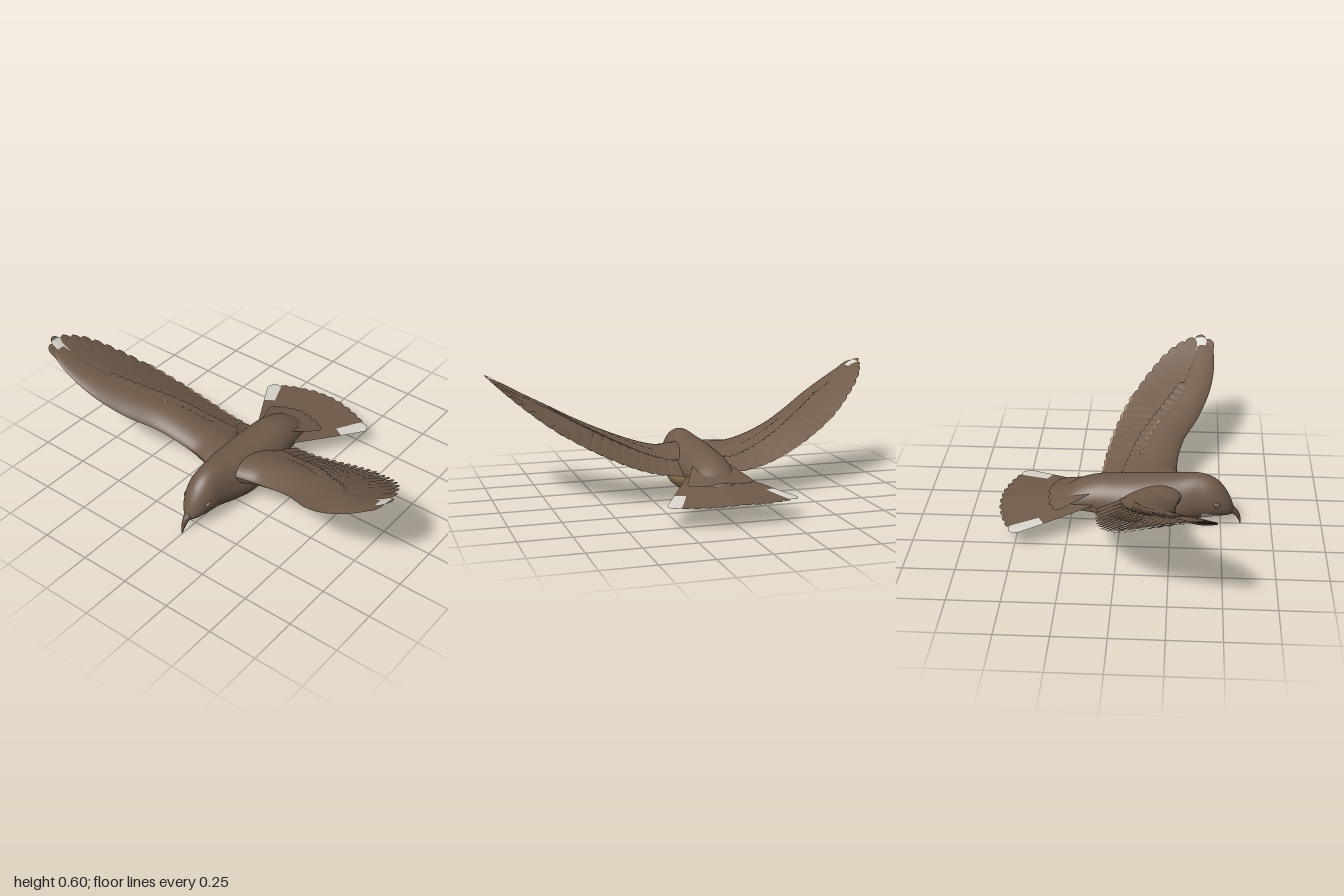
import * as THREE from 'three';

const mat = (name, color, side = THREE.FrontSide) => Object.assign(new THREE.MeshStandardMaterial({ color, side }), { name });
const brown = mat('brown plumage', 0x705b4a);
const dark = mat('dark underside', 0x42342a);
const tan = mat('tan belly and tips', 0xa98a65);
const white = mat('pale patches', 0xdad5cd);
const bill = mat('bill brown', 0x5a483b);
const PALETTE = [brown, dark, tan, white];
const BROWN = 0, DARK = 1, TAN = 2, WHITE = 3;
const lerp = THREE.MathUtils.lerp, clamp = THREE.MathUtils.clamp;

// Smooth interpolation of column c in a table sorted by its first column
function at(table, x, c) {
  const n = table.length;
  x = clamp(x, table[0][0], table[n - 1][0]);
  let i = 0;
  while (i < n - 2 && x > table[i + 1][0]) i++;
  const slope = (k) => {
    const a = table[Math.max(k - 1, 0)], b = table[Math.min(k + 1, n - 1)];
    return (b[c] - a[c]) / (b[0] - a[0]);
  };
  const [p, q] = [table[i], table[i + 1]], h = q[0] - p[0], s = (x - p[0]) / h;
  return (1 + 2 * s) * (1 - s) ** 2 * p[c] + s * (1 - s) ** 2 * h * slope(i)
    + s * s * (3 - 2 * s) * q[c] + s * s * (s - 1) * h * slope(i + 1);
}

// Surface from a rule f(u, v); paint(u, v) picks the colour of each face
function grid(nu, nv, f, paint, flip = false) {
  const pos = [], sets = PALETTE.map(() => []);
  for (let i = 0; i <= nu; i++) for (let j = 0; j <= nv; j++) pos.push(...f(i / nu, j / nv));
  for (let i = 0; i < nu; i++) for (let j = 0; j < nv; j++) {
    const a = i * (nv + 1) + j, b = a + nv + 1;
    const tri = flip ? [a, a + 1, b, b, a + 1, b + 1] : [a, b, a + 1, b, b + 1, a + 1];
    sets[paint((i + 0.5) / nu, (j + 0.5) / nv)].push(...tri);
  }
  const geo = new THREE.BufferGeometry();
  geo.setAttribute('position', new THREE.Float32BufferAttribute(pos, 3));
  geo.setIndex(sets.flat());
  let start = 0;
  sets.forEach((s, m) => { if (s.length) geo.addGroup(start, s.length, m); start += s.length; });
  geo.computeVertexNormals();
  return geo;
}

function mirrored(geo) {
  const g = geo.clone().scale(-1, 1, 1), ix = g.index.array;
  for (let i = 0; i < ix.length; i += 3) [ix[i], ix[i + 1]] = [ix[i + 1], ix[i]];
  return g;
}

function addMesh(parent, name, geo, material = PALETTE) {
  const m = new THREE.Mesh(geo, material);
  m.name = name;
  parent.add(m);
}

// Wing edges: x, z, y
const LEAD = [[0, .33, .2], [.1, .30, .2], [.2, .275, .195], [.4, .305, .25], [.55, .38, .315], [.7, .44, .405], [.85, .46, .5], [1, .44, .6]];
const TRAIL = [[0, -.1, .14], [.12, -.1, .14], [.3, -.09, .17], [.5, -.05, .25], [.7, .03, .36], [.85, .14, .47], [.95, .25, .555], [1, .33, .598]];
// Wing camber and depth below the upper surface: x, camber, depth
const SHAPE = [[0, .05, .13], [.12, .055, .11], [.25, .06, .05], [.45, .065, .026], [.65, .05, .015], [.85, .02, .009], [1, 0, .004]];

const wingZ = (x, t) => lerp(at(LEAD, x, 1), at(TRAIL, x, 1), t);
function wingY(x, z) {
  const lz = at(LEAD, x, 1), t = clamp((lz - z) / (lz - at(TRAIL, x, 1)), 0, 1);
  return lerp(at(LEAD, x, 2), at(TRAIL, x, 2), t) + at(SHAPE, x, 1) * Math.sin(Math.PI * t ** .7);
}
const tailY = (x, z) => .104 + .045 * clamp((z + .6) / .5, 0, 1) ** 1.3;
const covertT = (x) => lerp(.72, .4, clamp((x - .15) / .55, 0, 1));

// Feather draped on a height rule; mark = [from, to, colour on top, colour below]
function feather(list, name, height, root, tip, half, o = {}) {
  const { off = [0, 0], tilt = .004, thick = .005, mark = [2, 2, 0, 0], base = .6 } = o;
  const dx = tip[0] - root[0], dz = tip[1] - root[1], len = Math.hypot(dx, dz);
  const along = (q) => Math.sin(q * Math.PI / 2);
  const sheet = (drop) => (q, v) => {
    const u = along(q), s = v * 2 - 1, round = 1 - Math.min(half * 1.1 / len, .5);
    const w = half * (u < round ? lerp(base, 1, u / round) : Math.sqrt(Math.max(0, 1 - ((u - round) / (1 - round)) ** 2)));
    const x = root[0] + dx * u + dz / len * w * s, z = root[1] + dz * u - dx / len * w * s;
    const edge = 1 - s * s;
    return [x, height(x, z) + lerp(off[0], off[1], u) - tilt * s * w / half + (drop ? -thick : thick * .4 * edge), z];
  };
  const pick = (plain, c) => (q) => (along(q) > mark[0] && along(q) < mark[1] ? c : plain);
  list.push([name + 'Top', grid(16, 6, sheet(false), pick(BROWN, mark[2]))]);
  list.push([name + 'Underside', grid(16, 6, sheet(true), pick(DARK, mark[3]), true)]);
}

function wingParts() {
  const parts = [];
  // Smooth arm and leading edge
  const reach = (x) => covertT(x) - .04;
  parts.push(['wingArm', grid(48, 28, (u, v) => {
    const x = lerp(.02, .95, u), a = v * Math.PI * 2, t = reach(x) * (1 - Math.cos(a)) / 2, z = wingZ(x, t);
    const k = Math.sin(a);
    return [x, wingY(x, z) + k * (k > 0 ? .009 : at(SHAPE, x, 2)) * Math.sqrt(1 - u ** 12), z];
  }, (u, v) => (v > .5 && v < .86 && u > .3 ? DARK : BROWN))]);
  // Secondaries
  for (let k = 0; k < 12; k++) {
    const x = .155 + k * .048;
    const tanTip = k > 1 && k % 4 !== 0;
    feather(parts, 'secondary', wingY, [x * .88, wingZ(x * .88, .4)], [x, wingZ(x, 1) - .012], .034,
      { mark: [tanTip ? .965 : 2, 2, TAN, TAN], off: [-.004, 0] });
  }
  // Primaries fanning from the wrist
  const tips = [[.725, .04], [.775, .075], [.82, .11], [.865, .15], [.905, .19], [.94, .235], [.965, .28], [.985, .33], [1, .385], [.975, .43]];
  tips.forEach((tip, k) => {
    const x = lerp(.5, .63, k / 9), t = lerp(.42, .12, k / 9);
    const mark = k === 8 ? [.6, .95, WHITE, WHITE] : k === 7 ? [.66, .93, BROWN, WHITE] : undefined;
    feather(parts, 'primary', wingY, [x, wingZ(x, t)], tip, .036, { off: [-.004, 0], mark });
  });
  // Coverts with scattered tan tips
  for (let k = 0; k < 18; k++) {
    const x = .15 + k * .032, t = covertT(x);
    feather(parts, 'covert', wingY, [x * .93, wingZ(x * .93, t - .3)], [x, wingZ(x, t + .02)], .023,
      { off: [0, .01], tilt: .002, mark: [k % 4 === 1 ? .95 : 2, 2, TAN, DARK] });
  }
  // Tan dashes above and below
  for (let k = 0; k < 7; k++) {
    const x = .24 + k * .036, t = covertT(x) - .13;
    feather(parts, 'covertDash', wingY, [x - .012, wingZ(x, t)], [x + .012, wingZ(x, t) + .012], .005,
      { off: [.013, .013], tilt: 0, thick: .003, mark: [-1, 2, TAN, TAN] });
    const xb = .36 + k * .045, tb = covertT(xb) + .03;
    feather(parts, 'underDash', wingY, [xb - .013, wingZ(xb, tb)], [xb + .013, wingZ(xb, tb) + .012], .006,
      { off: [-.013, -.013], tilt: 0, thick: .003, mark: [-1, 2, TAN, TAN] });
  }
  return parts;
}

function tailParts() {
  const parts = [];
  // Tail fan, half of it
  const tips = [[.028, -.598], [.085, -.594], [.142, -.582], [.196, -.565], [.245, -.545], [.293, -.522]];
  tips.forEach((tip, k) => feather(parts, 'tailFeather', tailY, [.012 + k * .014, -.12], tip, .04,
    { off: [.012 - k * .002, .006 - k * .003], tilt: -.003, mark: k === 5 ? [.66, 2, WHITE, WHITE] : undefined }));
  // Upper tail coverts
  const rump = (x, z) => .155 + .28 * Math.max(0, z + .35) - .5 * x * x;
  [[0, -.357], [.05, -.355], [.1, -.345], [.14, -.325]].forEach((tip, k) =>
    feather(parts, 'tailCovert', rump, [k * .022, -.14], tip, .034, { off: [-.01, -k * .004], tilt: -.002 }));
  return parts;
}

// Body stations: z, top, bottom, half width
const BODY = [[-.36, .115, .108, 0], [-.33, .138, .1, .05], [-.27, .18, .087, .085], [-.2, .222, .075, .102], [-.1, .25, .058, .115],
  [0, .255, .027, .128], [.1, .26, .009, .134], [.2, .266, .002, .13], [.3, .272, .016, .108], [.38, .277, .036, .088],
  [.45, .259, .047, .078], [.5, .22, .052, .062], [.54, .158, .056, .038], [.567, .085, .066, 0]];

function bodyPoint(u, v) {
  const z = lerp(.567, -.36, u ** 1.2), a = v * Math.PI * 2;
  const top = at(BODY, z, 1), low = at(BODY, z, 2), mid = lerp(low, top, .43);
  const s = Math.sin(a);
  return [Math.max(0, at(BODY, z, 3)) * Math.cos(a), mid + s * (s > 0 ? top - mid : mid - low), z];
}

function bodyPaint(u, v) {
  const [x, y, z] = bodyPoint(u, v);
  if (z < .215 - .4 * Math.max(0, y - .03) && y < .135 + .1 * Math.min(0, z)) return TAN;
  if (z > .405 && z < .49 && y < .095 - (z - .405) * .25 && Math.abs(x) > .03) return WHITE;
  return BROWN;
}

export function createModel() {
  const bird = new THREE.Group();
  bird.name = 'bird';
  addMesh(bird, 'body', grid(110, 72, bodyPoint, bodyPaint));

  // Hooked bill
  const path = new THREE.CatmullRomCurve3([[.535, .088], [.565, .073], [.584, .05], [.594, .025], [.599, .003]]
    .map(([z, y]) => new THREE.Vector3(0, y, z)));
  addMesh(bird, 'bill', grid(16, 14, (u, v) => {
    const p = path.getPoint(u), d = path.getTangent(u), a = -v * Math.PI * 2, r = lerp(.026, .002, u ** .7);
    return [r * Math.cos(a), p.y + d.z * r * Math.sin(a), p.z - d.y * r * Math.sin(a)];
  }, () => BROWN), Array(4).fill(bill));

  // Eyelids
  for (const side of [1, -1]) {
    const lid = new THREE.SphereGeometry(1, 16, 12).scale(.012, .014, .024).rotateX(.35);
    addMesh(bird, 'eyelid', lid.translate(side * .066, .14, .475), brown);
  }

  // Wings and tail, mirrored
  for (const [name, parts] of [['Wing', wingParts()], ['TailHalf', tailParts()]]) {
    const left = new THREE.Group(), right = new THREE.Group();
    left.name = 'left' + name;
    right.name = 'right' + name;
    for (const [part, geo] of parts) {
      addMesh(left, part, geo);
      addMesh(right, part, mirrored(geo));
    }
    bird.add(left, right);
  }
  return bird;
}
